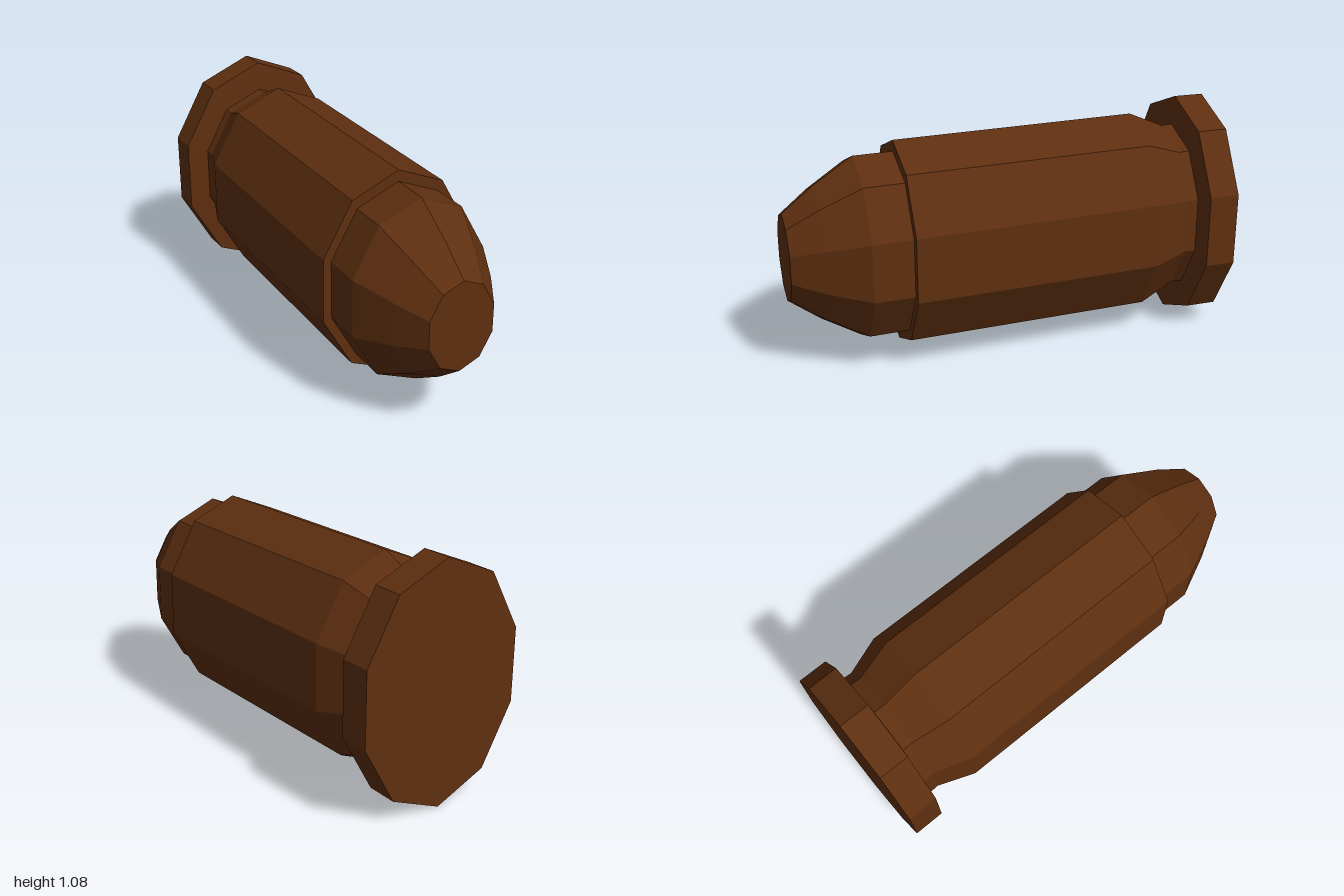
import * as THREE from 'three';

const SIDES = 10;
const ASPECT = 0.773; // width of each oval ring relative to its height

// Lofts decagonal oval rings, each [z, vertical radius, centre height], from back to front.
function loft(rings, capBack, capFront) {
  const pos = [];
  const idx = [];
  for (const [z, r, cy] of rings) {
    for (let j = 0; j < SIDES; j++) {
      const a = (j / SIDES) * Math.PI * 2;
      pos.push(Math.sin(a) * r * ASPECT, cy + Math.cos(a) * r, z);
    }
  }
  for (let i = 0; i < rings.length - 1; i++) {
    for (let j = 0; j < SIDES; j++) {
      const k = (j + 1) % SIDES;
      const a = i * SIDES + j, b = i * SIDES + k;
      const c = a + SIDES, d = b + SIDES;
      idx.push(a, c, b, b, c, d);
    }
  }
  const last = (rings.length - 1) * SIDES;
  for (let j = 1; j < SIDES - 1; j++) {
    if (capBack) idx.push(0, j, j + 1);
    if (capFront) idx.push(last, last + j + 1, last + j);
  }
  const indexed = new THREE.BufferGeometry();
  indexed.setAttribute('position', new THREE.Float32BufferAttribute(pos, 3));
  indexed.setIndex(idx);
  const geometry = indexed.toNonIndexed();
  geometry.computeVertexNormals();
  return geometry;
}

export function createModel() {
  const group = new THREE.Group();
  group.name = 'cartridge';
  const brown = new THREE.MeshStandardMaterial({ color: 0x5e2f10 });
  brown.name = 'brown';
  brown.flatShading = true;

  const add = (name, ...args) => {
    const mesh = new THREE.Mesh(loft(...args), brown);
    mesh.name = name;
    group.add(mesh);
  };

  // Rear rim, its front face sloping slightly in to the neck
  add('rim', [[-1, 0.537, 0.538], [-0.86, 0.537, 0.54], [-0.85, 0.403, 0.54]], true, false);

  // Case with a narrowed groove at the back and a stepped mouth
  add('case', [
    [-0.85, 0.403, 0.54], [-0.8, 0.4, 0.54], [-0.63, 0.478, 0.537],
    [0.5, 0.478, 0.53], [0.5, 0.428, 0.529],
  ], false, false);

  // Tapered tip with a flat nose
  add('tip', [
    [0.5, 0.428, 0.529], [0.68, 0.428, 0.528], [0.86, 0.314, 0.526], [1, 0.205, 0.525],
  ], false, true);

  return group;
}
